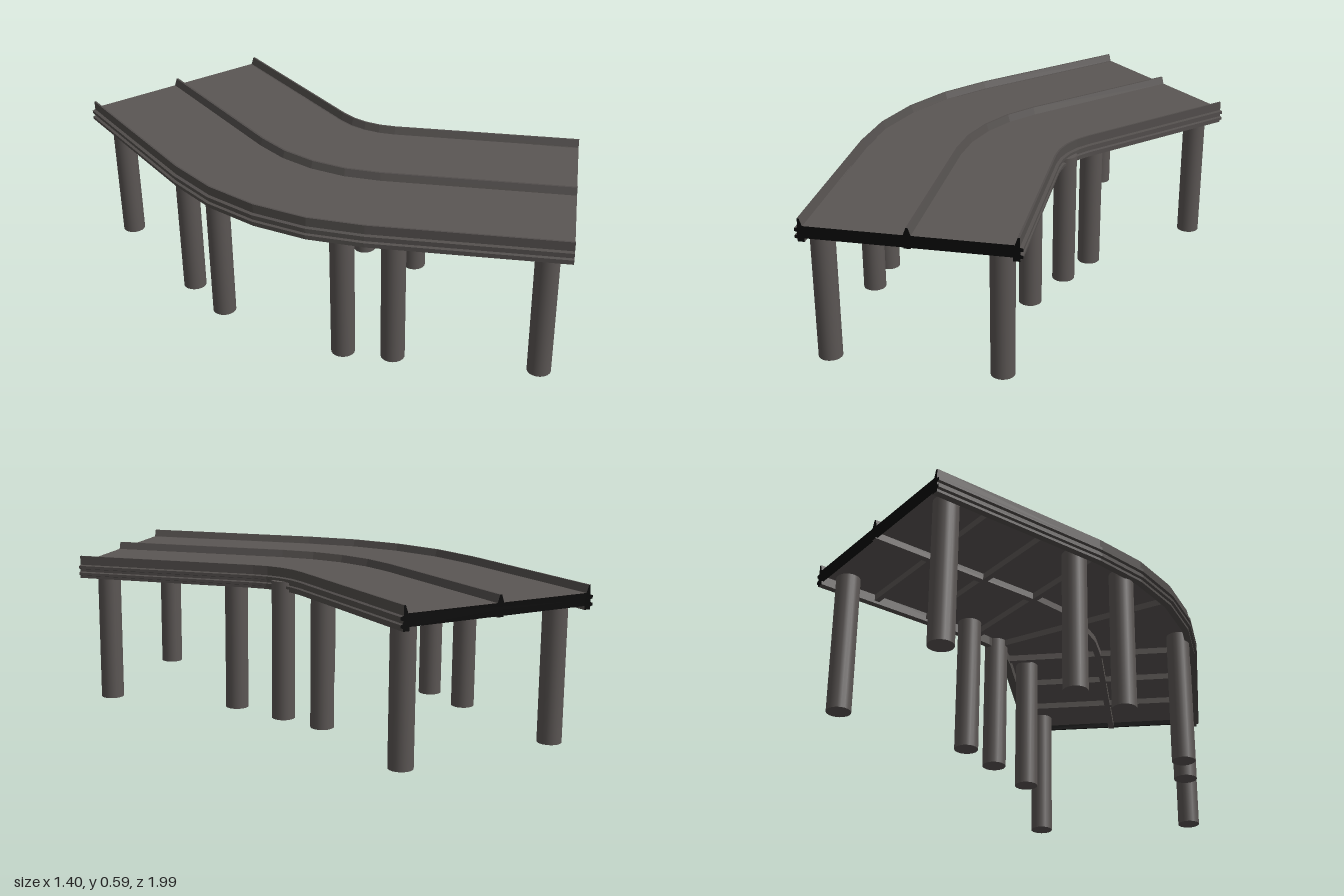
import * as THREE from 'three';

const concrete = new THREE.MeshStandardMaterial({ color: 0x5b5654 });
concrete.name = 'concrete';
const railGrey = new THREE.MeshStandardMaterial({ color: 0x524e4c });
railGrey.name = 'railGrey';
const black = new THREE.MeshStandardMaterial({ color: 0x080808 });
black.name = 'jointBlack';

// Road centreline: straight, 45 degree bend, straight
const START = -1, BEND = { x: 0.4, z: -0.305, r: 0.7 }, EXIT = 0.725, TURN = Math.PI / 4;

function onBend(a) {
  return { x: BEND.x - BEND.r * Math.cos(a), z: BEND.z + BEND.r * Math.sin(a), a };
}
function onEntry(z) {
  return { x: BEND.x - BEND.r, z, a: 0 };
}
function onExit(d) {
  const p = onBend(TURN);
  return { x: p.x + d * Math.SQRT1_2, z: p.z + d * Math.SQRT1_2, a: TURN };
}

const stations = [onEntry(START)];
for (let i = 0; i <= 4; i++) stations.push(onBend((TURN * i) / 4));
stations.push(onExit(EXIT));

// Sweeps a counterclockwise [offset, height] profile along the road; group 1 is the end caps
function sweep(profile) {
  const pos = [];
  const at = (s, [o, y]) => [s.x + o * Math.cos(s.a), y, s.z - o * Math.sin(s.a)];
  for (let k = 0; k < stations.length - 1; k++) {
    profile.forEach((p, i) => {
      const q = profile[(i + 1) % profile.length];
      const a = at(stations[k], p), b = at(stations[k], q);
      const c = at(stations[k + 1], q), d = at(stations[k + 1], p);
      pos.push(...a, ...b, ...c, ...a, ...c, ...d);
    });
  }
  const sideCount = pos.length / 3;
  const faces = THREE.ShapeUtils.triangulateShape(profile.map(([x, y]) => new THREE.Vector2(x, y)), []);
  for (const [i, j, k] of faces) {
    const first = stations[0], last = stations[stations.length - 1];
    pos.push(...at(first, profile[k]), ...at(first, profile[j]), ...at(first, profile[i]));
    pos.push(...at(last, profile[i]), ...at(last, profile[j]), ...at(last, profile[k]));
  }
  const geo = new THREE.BufferGeometry();
  geo.setAttribute('position', new THREE.Float32BufferAttribute(pos, 3));
  geo.addGroup(0, sideCount, 0);
  geo.addGroup(sideCount, pos.length / 3 - sideCount, 1);
  geo.computeVertexNormals();
  return geo;
}

const rect = (w, y0, y1) => [[-w, y0], [w, y0], [w, y1], [-w, y1]];

export function createModel() {
  const model = new THREE.Group();
  model.name = 'elevatedRoadBend';

  const add = (name, geo, mat) => {
    const mesh = new THREE.Mesh(geo, mat);
    mesh.name = name;
    model.add(mesh);
    return mesh;
  };

  // Road slab, central beam and central divider
  add('deck', sweep(rect(0.37, 0.535, 0.56)), [concrete, black]);
  add('centreBeam', sweep(rect(0.012, 0.51, 0.536)), [concrete, black]);
  add('centreDivider', sweep([[-0.014, 0.559], [0.014, 0.559], [0.004, 0.588], [-0.004, 0.588]]), [railGrey, black]);

  // Edge girders with two ledges and a tapered parapet
  const edge = [
    [0.365, 0.5], [0.39, 0.5], [0.39, 0.51], [0.4, 0.513], [0.4, 0.523], [0.39, 0.526], [0.39, 0.536],
    [0.4, 0.539], [0.4, 0.55], [0.388, 0.553], [0.388, 0.588], [0.381, 0.588], [0.371, 0.56], [0.365, 0.56],
  ];
  add('innerParapet', sweep(edge), [railGrey, black]);
  add('outerParapet', sweep(edge.map(([o, y]) => [-o, y]).reverse()), [railGrey, black]);

  // Cross ribs under the slab
  const ribGeo = new THREE.BoxGeometry(0.74, 0.026, 0.02);
  const ribs = [onBend(TURN / 2)];
  for (const t of [0, 1, 2]) {
    ribs.push(onEntry(BEND.z - t * 0.23), onExit(t * 0.24));
  }
  for (const s of ribs) {
    const rib = add('crossRib', ribGeo, concrete);
    rib.position.set(s.x, 0.523, s.z);
    rib.rotation.y = s.a;
  }

  // Dark joint plates closing both ends
  const plateGeo = new THREE.BoxGeometry(0.76, 0.045, 0.008);
  for (const s of [onEntry(START + 0.004), onExit(EXIT - 0.004)]) {
    const plate = add('endJoint', plateGeo, black);
    plate.position.set(s.x, 0.5365, s.z);
    plate.rotation.y = s.a;
  }

  // Round support pillars
  const pillarGeo = new THREE.CylinderGeometry(0.045, 0.045, 0.54, 20);
  const pillars = [
    [0.03, -0.91], [-0.61, -0.91], [0.03, -0.365], [-0.615, -0.365], [-0.61, -0.14], [0.1, -0.185],
    [0.19, 0.04], [-0.39, 0.355], [-0.26, 0.49], [0.575, 0.42], [0.12, 0.875],
  ];
  for (const [x, z] of pillars) {
    add('pillar', pillarGeo, concrete).position.set(x, 0.27, z);
  }

  return model;
}
